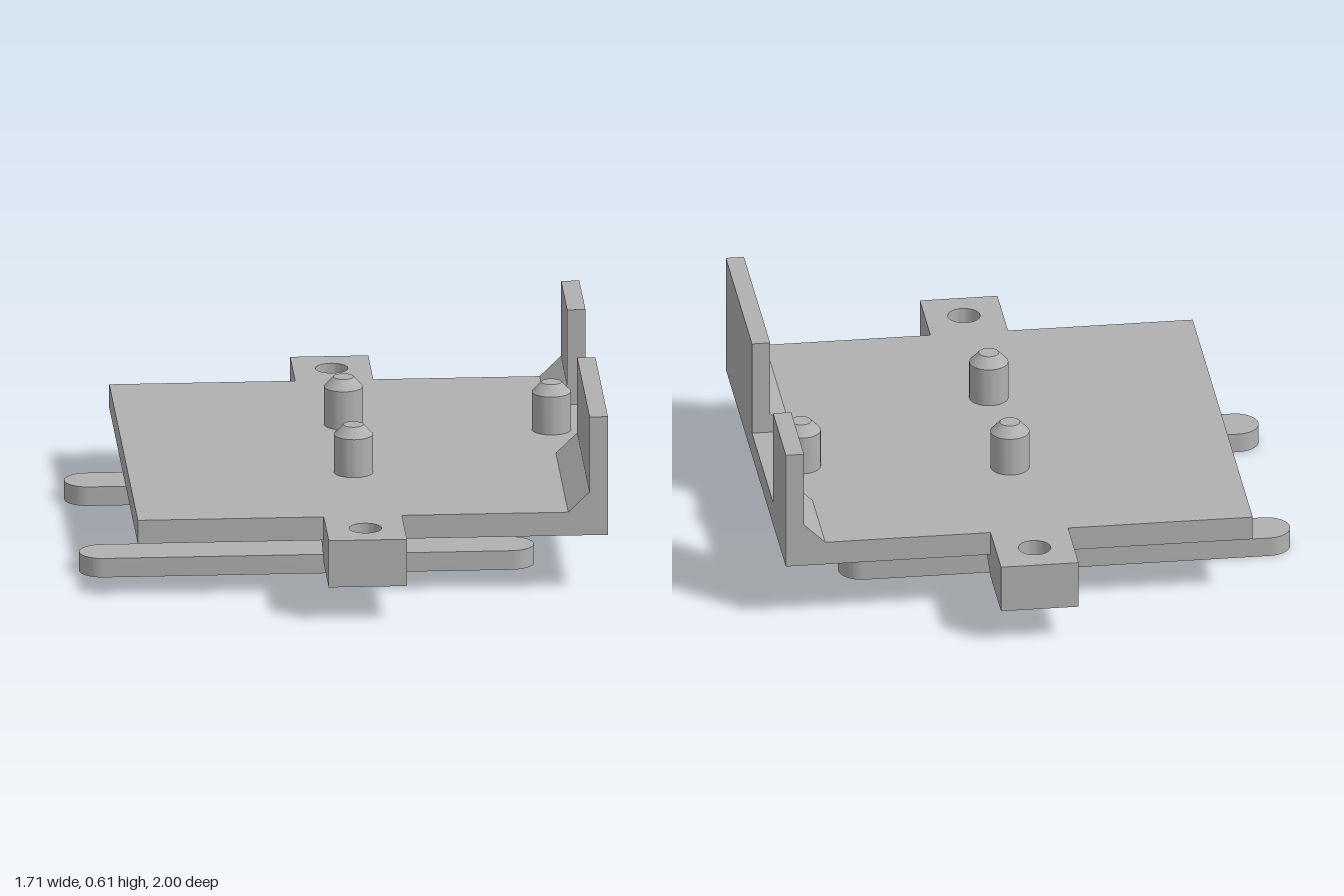
import * as THREE from 'three';
import { toCreasedNormals } from 'three/addons/utils/BufferGeometryUtils.js';

const grey = new THREE.MeshStandardMaterial({ color: 0xb0b0b0 });
grey.name = 'plain grey';

const CX = 0.047; // shared centre line of the pins and tabs

export function createModel() {
  const model = new THREE.Group();
  model.name = 'mountingPlate';

  const add = (name, geometry, x = 0, y = 0, z = 0) => {
    const mesh = new THREE.Mesh(geometry, grey);
    mesh.name = name;
    mesh.position.set(x, y, z);
    model.add(mesh);
  };
  const box = (name, x0, x1, y0, y1, z0, z1) =>
    add(name, new THREE.BoxGeometry(x1 - x0, y1 - y0, z1 - z0),
      (x0 + x1) / 2, (y0 + y1) / 2, (z0 + z1) / 2);
  const extrude = (shape, depth) =>
    new THREE.ExtrudeGeometry(shape, { depth, bevelEnabled: false, curveSegments: 24 });
  const polygon = (points) => new THREE.Shape(points.map(([x, y]) => new THREE.Vector2(x, y)));

  // Base plate with two round-ended prongs
  const r = 0.077, pz = 0.389, left = -0.86, right = 0.63;
  const base = new THREE.Shape();
  base.moveTo(-0.46, -pz + r);
  base.lineTo(left + r, -pz + r);
  base.absarc(left + r, -pz, r, Math.PI / 2, Math.PI * 1.5, false);
  base.lineTo(right - r, -pz - r);
  base.absarc(right - r, -pz, r, -Math.PI / 2, Math.PI / 2, false);
  base.lineTo(0.53, -pz + r);
  base.lineTo(0.53, pz - r);
  base.lineTo(right - r, pz - r);
  base.absarc(right - r, pz, r, -Math.PI / 2, Math.PI / 2, false);
  base.lineTo(left + r, pz + r);
  base.absarc(left + r, pz, r, Math.PI / 2, Math.PI * 1.5, false);
  base.lineTo(-0.46, pz - r);
  add('basePlate', toCreasedNormals(extrude(base, 0.065).rotateX(-Math.PI / 2), 0.6));

  // Spacer block and main deck
  box('spacerBlock', -0.275, 0.37, 0.065, 0.2, -0.227, 0.227);
  box('deck', -0.69, 0.85, 0.2, 0.28, -0.74, 0.74);

  // Tabs with screw holes, each with a curved rib under the deck
  const halfTab = 0.128;
  for (const s of [1, -1]) {
    const tab = polygon([[-halfTab, -0.13], [halfTab, -0.13], [halfTab, 0.13], [-halfTab, 0.13]]);
    tab.holes.push(new THREE.Path().absarc(0, 0, 0.053, 0, Math.PI * 2, true));
    add(s > 0 ? 'frontTab' : 'backTab',
      toCreasedNormals(extrude(tab, 0.16).rotateX(-Math.PI / 2), 0.6), CX, 0.12, s * 0.87);

    const rib = new THREE.Shape();
    rib.moveTo(s * 0.74, 0.2);
    rib.lineTo(s * 0.74, 0.12);
    rib.quadraticCurveTo(s * 0.59, 0.195, s * 0.42, 0.2);
    add(s > 0 ? 'frontRib' : 'backRib',
      toCreasedNormals(extrude(rib, halfTab * 2).rotateY(-Math.PI / 2), 0.5), CX + halfTab, 0, 0);
  }

  // Upright side walls with a chamfered foot
  const wall = polygon([[0.72, 0.28], [0.85, 0.28], [0.85, 0.605], [0.79, 0.605], [0.79, 0.348]]);
  add('longWall', extrude(wall, 0.645), 0, 0, 0.095);
  add('shortWall', extrude(wall, 0.315), 0, 0, -0.74);

  // Locating pins with chamfered tips
  const pinProfile = [[0.064, 0], [0.064, 0.13], [0.033, 0.163], [0, 0.163]]
    .map(([x, y]) => new THREE.Vector2(x, y));
  const pin = toCreasedNormals(new THREE.LatheGeometry(pinProfile, 40), 0.5);
  for (const [name, x, z] of [['frontPin', CX, 0.258], ['backPin', CX, -0.262], ['sidePin', 0.722, -0.163]])
    add(name, pin, x, 0.28, z);

  return model;
}
